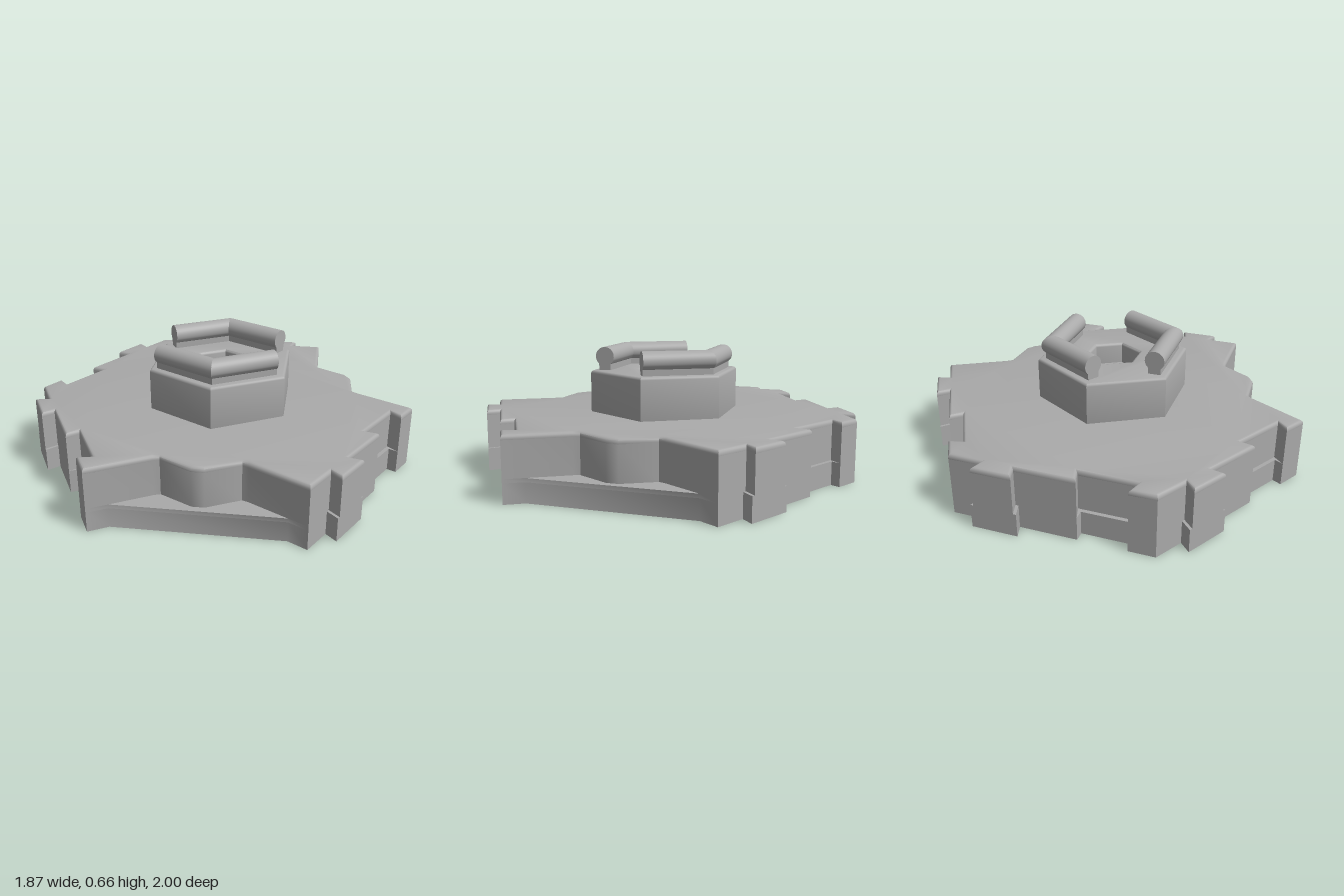
import * as THREE from 'three';
import { toCreasedNormals } from 'three/addons/utils/BufferGeometryUtils.js';

const stone = new THREE.MeshStandardMaterial({ color: 0xaaaaaa });
stone.name = 'stone grey';

// Points along each hexagon edge: [distance along the edge, distance outwards]
const zigzag = [[0.28, -0.162], [0.31, -0.173], [0.47, -0.088], [0.53, -0.088], [0.69, -0.173], [0.72, -0.162]];
const ledge = [[0.09, -0.053], [0.91, -0.053]];
const joinery = (slotDepth, lip, flare) => [
  // dovetail slot, then dovetail tab
  [0.13, 0], [0.13 - lip, -slotDepth], [0.37 + lip, -slotDepth], [0.37, 0],
  [0.67 - flare, 0], [0.65 - flare, 0.068], [0.85 + flare, 0.068], [0.83 + flare, 0],
];

// Closed outline of a pointed-front hexagon, each edge with its own pattern
function hexOutline(radius, patternFor) {
  const points = [];
  for (let k = 0; k < 6; k++) {
    const a = (k * 60 + 30) * Math.PI / 180;
    const corner = new THREE.Vector2(Math.cos(a), Math.sin(a));
    const along = new THREE.Vector2(Math.cos(a + 2 * Math.PI / 3), Math.sin(a + 2 * Math.PI / 3));
    const out = new THREE.Vector2(Math.cos(a + Math.PI / 6), Math.sin(a + Math.PI / 6));
    for (const [t, d] of [[0, 0], ...patternFor(k)]) {
      const p = corner.clone().addScaledVector(along, t).addScaledVector(out, d).multiplyScalar(radius);
      points.push(new THREE.Vector2(p.x, -p.y));
    }
  }
  return points.reverse();
}

const isCut = k => k === 0 || k === 4;

function addMesh(parent, name, geometry) {
  const mesh = new THREE.Mesh(toCreasedNormals(geometry, 0.65), stone);
  mesh.name = name;
  parent.add(mesh);
  return mesh;
}

// Upright slab between two heights, with optional hole and bevel
function slab(outline, y0, y1, hole, bevel = 0) {
  const shape = new THREE.Shape(outline);
  if (hole) shape.holes.push(new THREE.Path(hole));
  const geometry = new THREE.ExtrudeGeometry(shape, {
    depth: y1 - y0 - 2 * bevel, bevelEnabled: bevel > 0, bevelThickness: bevel,
    bevelSize: bevel, bevelOffset: -bevel, bevelSegments: 3,
  });
  geometry.rotateX(-Math.PI / 2);
  geometry.translate(0, y0 + bevel, 0);
  return geometry;
}

// Hexagon with points at left and right
function sideHex(radius) {
  return Array.from({ length: 6 }, (_, i) =>
    new THREE.Vector2(radius * Math.cos(i * Math.PI / 3), radius * Math.sin(i * Math.PI / 3)));
}

// Round-capped wall along the back edge, mitred at one end
function parapetWall(x0, x1, mitreStart) {
  const profile = new THREE.Shape();
  profile.moveTo(-0.032, 0.53);
  profile.lineTo(-0.032, 0.574);
  profile.absarc(0, 0.612, 0.05, Math.PI + 0.876, -0.876, true);
  profile.lineTo(0.032, 0.53);
  const length = x1 - x0;
  const geometry = new THREE.ExtrudeGeometry(profile, { depth: length, bevelEnabled: false, curveSegments: 12 });
  const pos = geometry.attributes.position;
  const slope = Math.tan(Math.PI / 6);
  for (let i = 0; i < pos.count; i++) {
    const atStart = pos.getZ(i) < length / 2;
    if (atStart === mitreStart) pos.setZ(i, pos.getZ(i) + pos.getX(i) * slope * (atStart ? -1 : 1));
  }
  geometry.rotateY(Math.PI / 2);
  geometry.translate(x0, 0, -0.275);
  return geometry;
}

export function createModel() {
  const model = new THREE.Group();
  model.name = 'hexagonal tower tile';

  // Base: hollow rim, shelf closing the cut corners, notched wall, bevelled deck
  const base = new THREE.Group();
  base.name = 'base';
  model.add(base);
  const wallOutline = hexOutline(1, k => isCut(k) ? zigzag : joinery(0.07, 0.02, 0));
  const rimOutline = hexOutline(1, k => isCut(k) ? ledge : joinery(0.05, 0, 0.015));
  const cavity = hexOutline(0.87, () => zigzag);
  addMesh(base, 'lowerRim', slab(rimOutline, 0, 0.10, hexOutline(0.885, () => [])));
  addMesh(base, 'shelf', slab(rimOutline, 0.10, 0.12, cavity));
  addMesh(base, 'upperWall', slab(wallOutline, 0.12, 0.30, cavity));
  addMesh(base, 'deck', slab(wallOutline, 0.28, 0.325, null, 0.018));

  // Tower with a hexagonal well
  const tower = new THREE.Group();
  tower.name = 'tower';
  model.add(tower);
  addMesh(tower, 'towerBody', slab(sideHex(0.395), 0.30, 0.542, sideHex(0.14), 0.015));
  addMesh(tower, 'wellFloor', slab(sideHex(0.17), 0.32, 0.43));

  // Two opposite L-shaped parapets
  for (let i = 0; i < 2; i++) {
    const parapet = new THREE.Group();
    parapet.name = i ? 'frontParapet' : 'backParapet';
    parapet.rotation.y = i * Math.PI;
    addMesh(parapet, 'longWall', parapetWall(-0.159, 0.18, true));
    addMesh(parapet, 'angledWall', parapetWall(-0.17, 0.159, false)).rotation.y = Math.PI / 3;
    tower.add(parapet);
  }
  return model;
}
